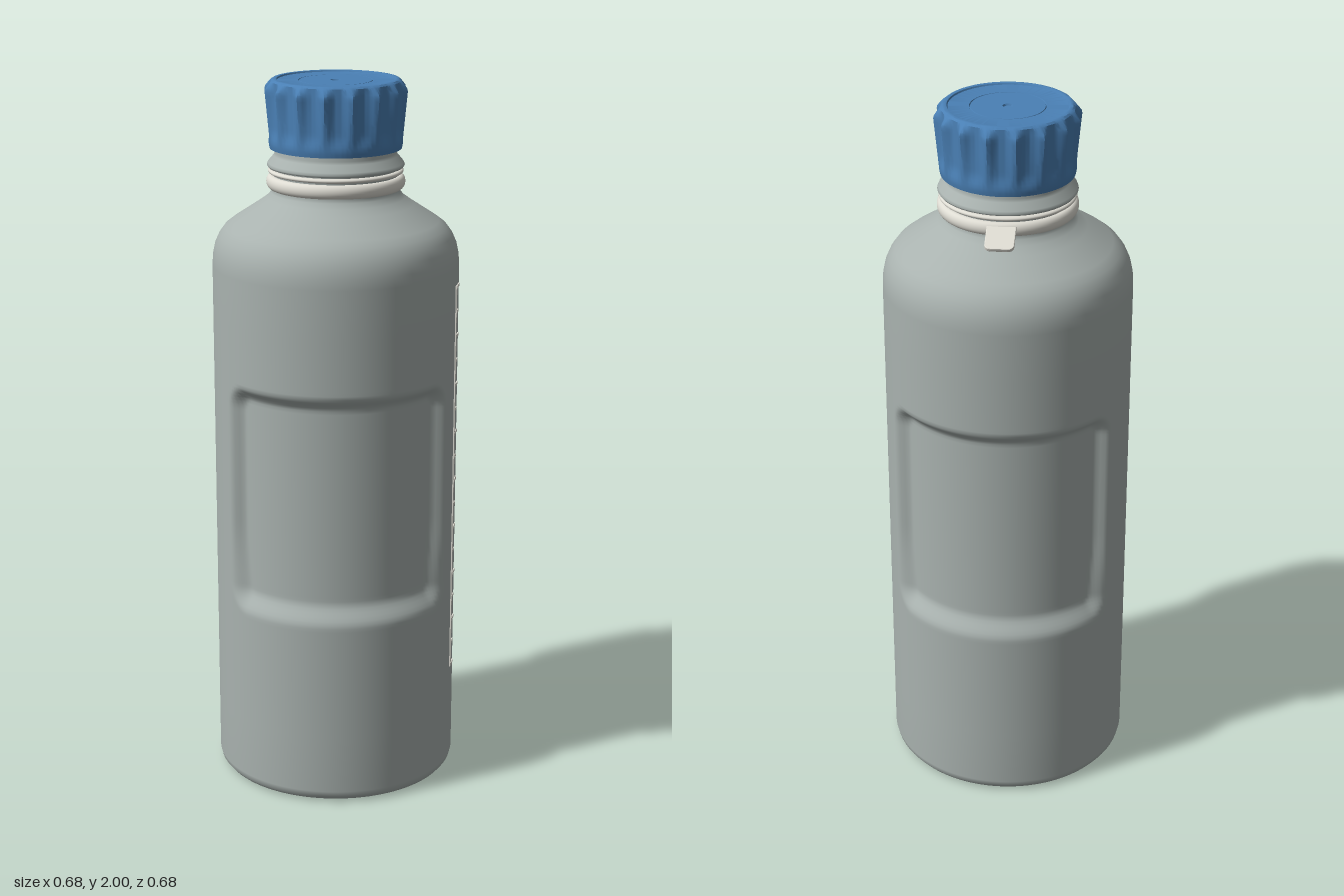
import * as THREE from 'three';
import { mergeVertices, toCreasedNormals } from 'three/addons/utils/BufferGeometryUtils.js';

const R = 0.342; // body radius
const { smoothstep, lerp } = THREE.MathUtils;

const material = (color) => new THREE.MeshStandardMaterial({ color, roughness: 0.6 });
const bodyMat = material(0xa9b2af);
const capMat = material(0x4a80b5);
const paleMat = material(0xdedcd3);

function mesh(name, geometry, mat) {
  const m = new THREE.Mesh(geometry, mat);
  m.name = name;
  return m;
}

// Lathe whose radius is altered by rule(r, y, angle); angle 0 is the front
function shapedLathe(points, segments, rule) {
  let g = new THREE.LatheGeometry(points.map(([x, y]) => new THREE.Vector2(x, y)), segments);
  const p = g.attributes.position;
  for (let i = 0; i < p.count; i++) {
    const x = p.getX(i), y = p.getY(i), z = p.getZ(i);
    const r = Math.hypot(x, z);
    if (r < 1e-6) continue;
    const k = rule(r, y, Math.atan2(x, z)) / r;
    p.setXYZ(i, x * k, y, z * k);
  }
  g.deleteAttribute('uv');
  g.deleteAttribute('normal');
  g = mergeVertices(g, 1e-5);
  g.computeVertexNormals();
  return g;
}

// Depth of the rounded grip panels at front and back
function panelDepth(y, angle) {
  const a = Math.abs(angle);
  const u = R * Math.min(a, Math.PI - a);
  const corner = 0.07;
  const qx = u - 0.363 + corner;
  const qy = Math.abs(y - 0.862) - 0.33 + corner;
  const d = Math.hypot(Math.max(qx, 0), Math.max(qy, 0)) + Math.min(Math.max(qx, qy), 0) - corner;
  const slope = lerp(0.065, 0.04, smoothstep(y, 0.55, 0.8));
  return 0.03 * smoothstep(-d, 0, slope);
}

function makeBody() {
  // Hollowed base and rounded foot
  const pts = [[0, 0.025], [0.24, 0.022], [0.275, 0.015], [0.29, 0.004], [0.3, 0],
    [0.315, 0.001], [0.329, 0.007], [0.338, 0.018], [R, 0.034], [R, 0.2], [R, 0.45]];
  // Fine rows through the grip panels
  for (let i = 0; i <= 70; i++) pts.push([R, 0.51 + i * 0.01]);
  // Shoulder, neck and flared collar
  pts.push([R, 1.35], [R, 1.49], [0.34, 1.52], [0.334, 1.548], [0.323, 1.573], [0.307, 1.595],
    [0.285, 1.612], [0.215, 1.658], [0.19, 1.676], [0.178, 1.69], [0.174, 1.7], [0.174, 1.758],
    [0.186, 1.761], [0.189, 1.766], [0.186, 1.773], [0.17, 1.792], [0.166, 1.8], [0.165, 1.83]);
  return mesh('bottleBody', shapedLathe(pts, 240, (r, y, a) =>
    (y > 0.5 && y < 1.22 ? r - panelDepth(y, a) : r)), bodyMat);
}

function makeCap() {
  const y0 = 1.812, y1 = 1.968;
  const pts = [[0, 1.82], [0.16, 1.82], [0.163, y0], [0.181, y0]];
  for (let i = 1; i <= 16; i++) pts.push([lerp(0.182, 0.197, i / 16), lerp(y0, y1, i / 16)]);
  // Chamfer, rim and the shallow rings on top
  pts.push([0.195, 1.976], [0.188, 1.985], [0.18, 1.994], [0.172, 1.999], [0.164, 2],
    [0.161, 1.999], [0.159, 1.995], [0.102, 1.995], [0.1005, 1.992], [0.099, 1.995],
    [0.014, 1.995], [0.012, 1.99], [0, 1.99]);
  // Sixteen scallops that deepen upwards
  const g = shapedLathe(pts, 192, (r, y, a) => {
    const turn = a / (Math.PI / 8);
    const t = 2 * Math.abs(turn - Math.round(turn));
    const rib = Math.min(1, 1.25 * t * t);
    const valley = lerp(0.184, 0.177, smoothstep(y, 1.825, 1.87));
    return r - Math.max(0, r - valley) * (1 - rib);
  });
  return mesh('screwCap', toCreasedNormals(g, 0.6), capMat);
}

function makeRing(name, radius, y, halfWidth, halfHeight) {
  const g = new THREE.TorusGeometry(radius - halfWidth, 1, 12, 96);
  // Rebuilt as a lathe so the section can be oval
  const pts = [];
  for (let i = 0; i <= 14; i++) {
    const a = -Math.PI / 2 + (i / 14) * Math.PI;
    pts.push(new THREE.Vector2(radius - halfWidth + halfWidth * Math.cos(a), y + halfHeight * Math.sin(a)));
  }
  g.dispose();
  pts.unshift(new THREE.Vector2(0.17, y - halfHeight));
  pts.push(new THREE.Vector2(0.17, y + halfHeight));
  return mesh(name, new THREE.LatheGeometry(pts, 96), paleMat);
}

// Pull tab on the back of the seal ring
function makeTab() {
  const w = 0.039, len = 0.085, c = 0.018;
  const s = new THREE.Shape();
  s.moveTo(-w, 0);
  s.lineTo(w, 0);
  s.lineTo(w, len - c);
  s.quadraticCurveTo(w, len, w - c, len);
  s.lineTo(-w + c, len);
  s.quadraticCurveTo(-w, len, -w, len - c);
  const g = new THREE.ExtrudeGeometry(s, {
    depth: 0.007, bevelEnabled: true, bevelSize: 0.002, bevelThickness: 0.002, bevelOffset: -0.002,
    bevelSegments: 2, curveSegments: 8,
  });
  g.rotateX(-Math.PI / 2);
  const tab = mesh('pullTab', g, paleMat);
  tab.rotation.x = -0.36;
  tab.position.set(0, 1.724, -0.182);
  return tab;
}

// Raised measuring scale on the left side
function makeScale() {
  const group = new THREE.Group();
  group.name = 'measuringScale';
  const bar = (name, z, y, width, height) => {
    const b = mesh(name, new THREE.BoxGeometry(0.006, height, width), paleMat);
    const a = Math.asin(z / R);
    b.position.set(Math.cos(a) * R, y, z);
    b.rotation.y = -a;
    group.add(b);
  };
  const bottom = 0.315, top = 1.44;
  bar('scaleLine', 0.102, (bottom + top) / 2, 0.008, top - bottom + 0.008);
  for (let i = 0; i <= 16; i++) {
    const length = i % 2 ? 0.026 : 0.038;
    bar(i % 2 ? 'minorMark' : 'majorMark', 0.102 - length / 2, lerp(bottom, top, i / 16), length, 0.008);
  }
  return group;
}

export function createModel() {
  const model = new THREE.Group();
  model.name = 'bottle';
  model.add(
    makeBody(),
    makeCap(),
    makeRing('sealRing', 0.191, 1.72, 0.014, 0.019),
    makeRing('neckRing', 0.186, 1.75, 0.008, 0.006),
    makeTab(),
    makeScale(),
  );
  return model;
}
